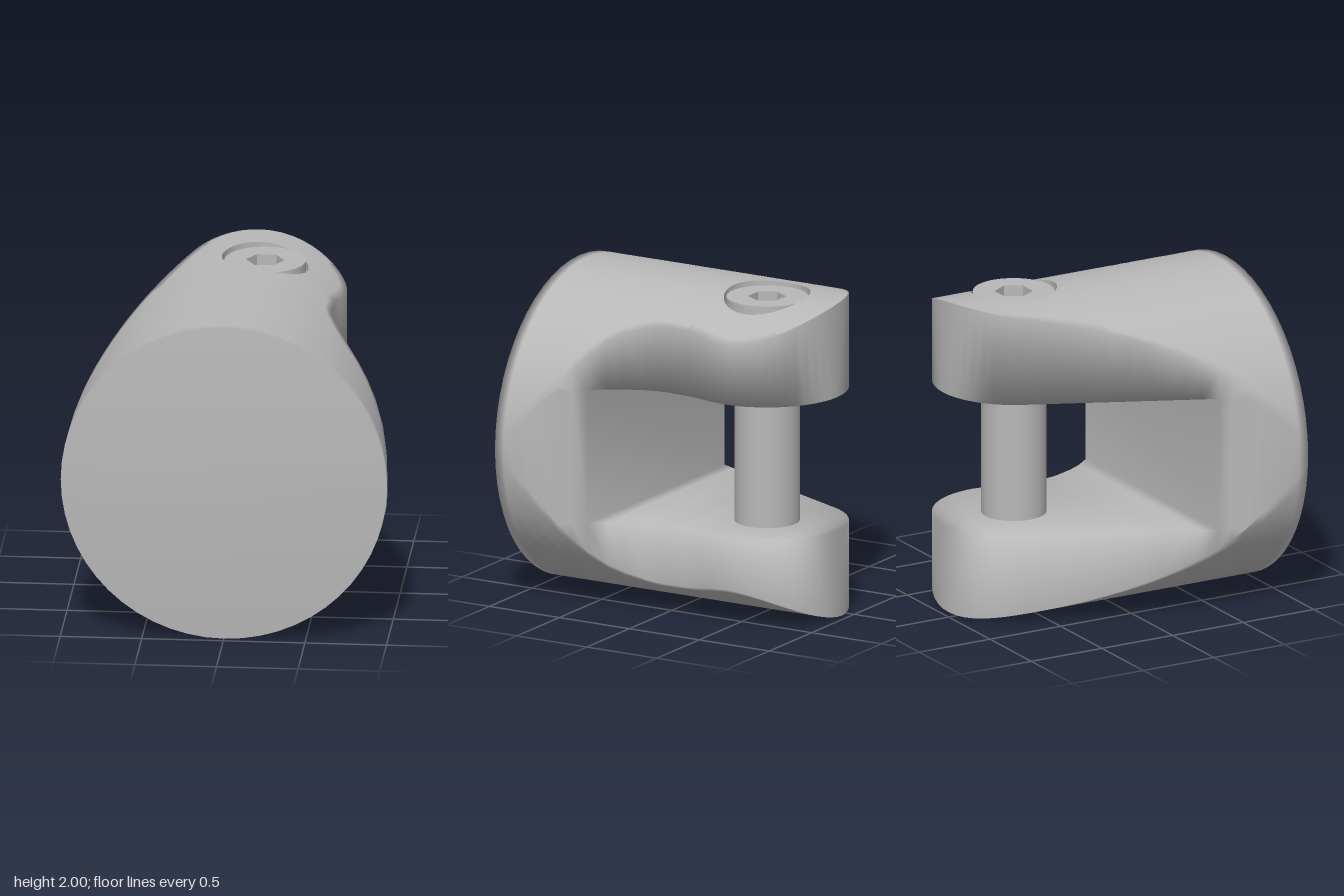
import * as THREE from 'three';
import { mergeVertices } from 'three/addons/utils/BufferGeometryUtils.js';

const PIN_X = 0.135, PIN_Z = -0.46, NOSE = 0.5;   // pin axis and rounded nose radius
const FRONT = 0.96, SLOT_Z = 0.43, SLOT_LO = 0.555, SLOT_HI = 1.4;
const ACROSS = 28;

// Plan outline as [z, x] pairs, ahead of the rounded nose
const LEFT_EDGE = [[-0.67, -0.318], [0.68, -0.94], [0.8, -0.975], [0.9, -0.994], [0.96, -1]];
const RIGHT_EDGE = [[-0.46, 0.635], [-0.36, 0.625], [-0.25, 0.6], [-0.16, 0.586], [0, 0.58], [0.06, 0.586],
  [0.12, 0.602], [0.25, 0.657], [0.34, 0.71], [0.43, 0.785], [0.5, 0.842], [0.58, 0.9], [0.68, 0.952],
  [0.8, 0.985], [0.9, 0.997], [0.96, 1]];

function edgeX(table, z, side) {
  if (z <= table[0][0]) return PIN_X + side * Math.sqrt(Math.max(0, NOSE ** 2 - (z - PIN_Z) ** 2));
  const i = Math.max(1, table.findIndex(p => p[0] >= z - 1e-6));
  const [z0, x0] = table[i - 1], [z1, x1] = table[i];
  return x0 + (x1 - x0) * (z - z0) / (z1 - z0);
}

// Round barrel of radius 1 lying along z
const topY = x => 1 + Math.sqrt(Math.max(0, 1 - x * x));
const clampY = (x, y) => Math.min(topY(x), Math.max(2 - topY(x), y));

// Collects quads and welds them into a smooth surface
function surface() {
  const pos = [];
  const tri = (...p) => p.forEach(v => pos.push(...v));
  return {
    tri,
    quad(a, b, c, d) { tri(a, b, c); tri(a, c, d); },
    build() {
      const g = new THREE.BufferGeometry();
      g.setAttribute('position', new THREE.Float32BufferAttribute(pos, 3));
      const merged = mergeVertices(g, 1e-4);
      merged.computeVertexNormals();
      return merged;
    },
  };
}

export function createModel() {
  const group = new THREE.Group();
  const steel = new THREE.MeshStandardMaterial({ color: 0xb8b8b8 });
  steel.name = 'grey steel';
  const add = (name, geometry, x = 0, y = 0, z = 0) => {
    const m = new THREE.Mesh(geometry, steel);
    m.name = name;
    m.position.set(x, y, z);
    group.add(m);
  };

  // Stations from the back of the nose to the front face
  const stations = [];
  for (let i = 0; i < 7; i++) stations.push(PIN_Z - NOSE * Math.cos(i / 7 * 0.9273));
  for (let i = 0; i <= 12; i++) stations.push(-0.76 + i * 0.05);
  stations.push(-0.08, 0, 0.06, 0.12, 0.25, 0.34, SLOT_Z, 0.5, 0.58, 0.68, 0.8, 0.9, FRONT);
  const holeStart = 7, holeEnd = 19;

  // Cross-section at each station, spaced evenly around the barrel
  const rows = stations.map(z => {
    const l = edgeX(LEFT_EDGE, z, -1), r = edgeX(RIGHT_EDGE, z, 1);
    const a = Math.asin(Math.max(-1, l)), b = Math.asin(Math.min(1, r));
    const xs = Array.from({ length: ACROSS + 1 }, (_, i) => Math.sin(a + (b - a) * i / ACROSS));
    return {
      z, l: xs[0], r: xs[ACROSS],
      top: xs.map(x => [x, topY(x), z]),
      bottom: xs.map(x => [x, 2 - topY(x), z]),
    };
  });

  const body = surface();
  for (let j = 0; j < rows.length - 1; j++) {
    const A = rows[j], B = rows[j + 1];
    // Curved top and bottom skins, leaving the top open around the screw
    for (let i = 0; i < ACROSS; i++) {
      if (j < holeStart || j >= holeEnd) body.quad(A.top[i], B.top[i], B.top[i + 1], A.top[i + 1]);
      body.quad(A.bottom[i], A.bottom[i + 1], B.bottom[i + 1], B.bottom[i]);
    }
    // Side walls, open where the slot passes through
    const inSlot = B.z <= SLOT_Z + 1e-6;
    const levels = [0, SLOT_LO, SLOT_HI, 2];
    for (let k = 0; k < 3; k++) {
      if (k === 1 && inSlot) continue;
      const at = (row, x, y) => [x, clampY(x, y), row.z];
      const lo = levels[k], hi = levels[k + 1];
      body.quad(at(A, A.l, lo), at(B, B.l, lo), at(B, B.l, hi), at(A, A.l, hi));
      body.quad(at(A, A.r, lo), at(A, A.r, hi), at(B, B.r, hi), at(B, B.r, lo));
    }
    // Slot floor and ceiling
    if (inSlot) {
      const at = (row, x, y) => [x, y, row.z];
      body.quad(at(A, A.l, SLOT_LO), at(B, B.l, SLOT_LO), at(B, B.r, SLOT_LO), at(A, A.r, SLOT_LO));
      body.quad(at(A, A.l, SLOT_HI), at(A, A.r, SLOT_HI), at(B, B.r, SLOT_HI), at(B, B.l, SLOT_HI));
    }
  }

  // End wall of the slot
  const end = rows.find(r => Math.abs(r.z - SLOT_Z) < 1e-6);
  body.quad([end.l, SLOT_LO, SLOT_Z], [end.l, SLOT_HI, SLOT_Z], [end.r, SLOT_HI, SLOT_Z], [end.r, SLOT_LO, SLOT_Z]);

  // Round front face
  const face = rows[rows.length - 1];
  const rim = [...face.bottom, ...[...face.top].reverse()];
  rim.forEach((p, i) => body.tri([0, 1, FRONT], p, rim[(i + 1) % rim.length]));

  // Top skin around the screw, stitched from the grid to a circle
  const BORE = 0.265, BORE_FLOOR = 1.87, RINGS = 5;
  const outline = [...rows[holeStart].top];
  for (let j = holeStart + 1; j < holeEnd; j++) outline.push(rows[j].top[ACROSS]);
  outline.push(...[...rows[holeEnd].top].reverse());
  for (let j = holeEnd - 1; j > holeStart; j--) outline.push(rows[j].top[0]);
  const ringPoint = (p, t) => {
    const dx = p[0] - PIN_X, dz = p[2] - PIN_Z, d = Math.hypot(dx, dz);
    const s = 1 + (BORE / d - 1) * t;
    const x = PIN_X + dx * s;
    return [x, topY(x), PIN_Z + dz * s];
  };
  const bore = surface();
  outline.forEach((p, i) => {
    const q = outline[(i + 1) % outline.length];
    for (let k = 0; k < RINGS; k++) {
      const t0 = k / RINGS, t1 = (k + 1) / RINGS;
      body.quad(ringPoint(p, t0), ringPoint(p, t1), ringPoint(q, t1), ringPoint(q, t0));
    }
    const a = ringPoint(p, 1), b = ringPoint(q, 1);
    bore.quad([a[0], BORE_FLOOR, a[2]], [b[0], BORE_FLOOR, b[2]], b, a);
  });
  add('clampBody', body.build());
  add('screwRecessWall', bore.build());
  add('screwRecessFloor', new THREE.CircleGeometry(BORE, 48).rotateX(-Math.PI / 2), PIN_X, BORE_FLOOR, PIN_Z);

  // Pin across the slot
  add('pin', new THREE.CylinderGeometry(0.2, 0.2, SLOT_HI - SLOT_LO, 48, 1, true), PIN_X, (SLOT_HI + SLOT_LO) / 2, PIN_Z);

  // Screw head with a hexagonal socket
  const headShape = new THREE.Shape().absarc(0, 0, 0.25, 0, Math.PI * 2);
  const hex = Array.from({ length: 6 }, (_, i) =>
    new THREE.Vector2(Math.cos(i * Math.PI / 3), Math.sin(i * Math.PI / 3)).multiplyScalar(0.118));
  headShape.holes.push(new THREE.Path(hex));
  const head = new THREE.ExtrudeGeometry(headShape, { depth: 0.12, bevelEnabled: false, curveSegments: 32 });
  add('screwHead', head.rotateX(-Math.PI / 2), PIN_X, 1.85, PIN_Z);
  add('socketFloor', new THREE.CircleGeometry(0.118, 6).rotateX(-Math.PI / 2), PIN_X, 1.88, PIN_Z);

  return group;
}
